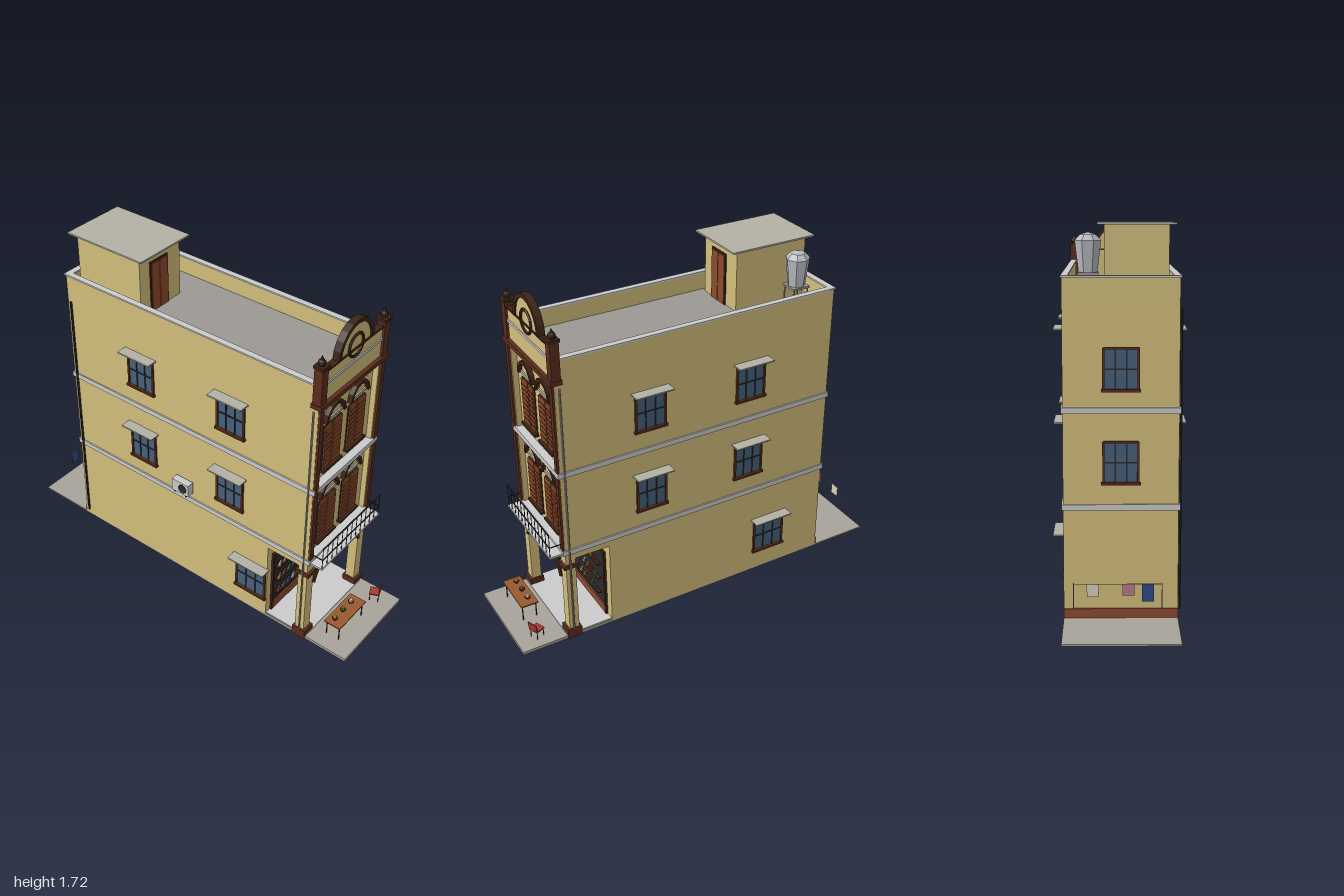
import * as THREE from 'three';

const C = {
  wall: 0xd2be7c, white: 0xcccccc, roof: 0x9c9892, slab: 0xb4b0a6, brown: 0x5a2c1c, dark: 0x3c2416,
  shutter: 0x8c4a2a, glass: 0x46607a, black: 0x2a2a2a, brick: 0x8e4a30, red: 0xa03a34, wood: 0x9a5a30, pave: 0xa8a39a,
};
const mats = {};
const mat = (c) => (mats[c] ??= new THREE.MeshStandardMaterial({ color: c, flatShading: true, side: THREE.DoubleSide }));

function add(parent, name, geo, color, x = 0, y = 0, z = 0) {
  const m = new THREE.Mesh(geo, mat(color));
  m.name = name;
  m.position.set(x, y, z);
  parent.add(m);
  return m;
}
// Box given by its limits on each axis
function box(p, name, color, x0, x1, y0, y1, z0, z1) {
  return add(p, name, new THREE.BoxGeometry(x1 - x0, y1 - y0, z1 - z0), color, (x0 + x1) / 2, (y0 + y1) / 2, (z0 + z1) / 2);
}
function group(parent, name, x = 0, y = 0, z = 0, ry = 0) {
  const g = new THREE.Group();
  g.name = name;
  g.position.set(x, y, z);
  g.rotation.y = ry;
  parent.add(g);
  return g;
}
const cyl = (r0, r1, h, n = 6) => new THREE.CylinderGeometry(r0, r1, h, n);

// Half-elliptical arch band, or a solid fan when no inner size is given
function arch(rx, ry, t, depth, seg) {
  const s = new THREE.Shape();
  const pt = (a, b, i) => new THREE.Vector2(Math.cos((Math.PI * i) / seg) * a, Math.sin((Math.PI * i) / seg) * b);
  const pts = [];
  for (let i = 0; i <= seg; i++) pts.push(pt(rx, ry, i));
  if (t) for (let i = seg; i >= 0; i--) pts.push(pt(rx - t, ry - t, i));
  s.setFromPoints(pts);
  return new THREE.ExtrudeGeometry(s, { depth, bevelEnabled: false });
}

// Glazed window facing local +z, origin at the middle of its sill
function glazedWindow(parent, x, y, z, ry, canopy, w = 0.15) {
  const g = group(parent, 'window', x, y, z, ry), h = 0.18, a = w / 2;
  box(g, 'windowGlass', C.glass, -a, a, 0, h, -0.005, 0.003);
  for (const s of [-1, 1]) box(g, 'windowJamb', C.brown, s * a - 0.005, s * a + 0.005, 0, h, -0.005, 0.009);
  box(g, 'windowHead', C.brown, -a, a, h - 0.006, h + 0.004, -0.005, 0.009);
  box(g, 'windowSill', C.brown, -a - 0.01, a + 0.01, -0.008, 0.004, -0.005, 0.016);
  for (const m of [-w / 6, w / 6]) box(g, 'windowMullion', C.black, m - 0.003, m + 0.003, 0, h, 0, 0.007);
  box(g, 'windowTransom', C.black, -a, a, h / 2 - 0.003, h / 2 + 0.003, 0, 0.007);
  if (canopy) box(g, 'windowCanopy', C.slab, -a - 0.02, a + 0.02, h + 0.012, h + 0.019, -0.005, 0.055);
}

// Shuttered front window with arched hood
function shutterWindow(parent, x, y) {
  const g = group(parent, 'shutterWindow', x, y, 0.73), h = 0.235;
  box(g, 'windowRecess', C.black, -0.067, 0.067, 0, h, -0.005, 0.004);
  for (const s of [-1, 1]) {
    const leaf = group(g, 'shutter', s * 0.0345, 0, 0.007, -s * 0.06);
    box(leaf, 'shutterLeaf', C.shutter, -0.031, 0.031, 0.004, h - 0.003, -0.003, 0.003);
    for (let i = 0; i < 8; i++) {
      const l = box(leaf, 'louvre', C.shutter, -0.024, 0.024, 0.022 + i * 0.025, 0.037 + i * 0.025, 0.003, 0.006);
      l.rotation.x = 0.35;
    }
  }
  box(g, 'windowSill', C.dark, -0.075, 0.075, -0.012, 0, -0.005, 0.022);
  add(g, 'fanPanel', arch(0.066, 0.07, 0, 0.005, 6), C.wall, 0, h + 0.03, 0);
  box(g, 'fanBase', C.slab, -0.066, 0.066, h + 0.025, h + 0.038, 0, 0.012);
  add(g, 'archHood', arch(0.077, 0.082, 0.017, 0.022, 6), C.dark, 0, h + 0.026, 0);
}

export function createModel() {
  const root = new THREE.Group();
  root.name = 'shophouse';

  // Pavements and main walls
  box(root, 'groundSlab', C.pave, -0.25, 0.25, 0, 0.008, -1, 0.53);
  box(root, 'frontPavement', C.pave, -0.25, 0.25, 0, 0.016, 0.5, 1);
  box(root, 'arcadeFloor', C.white, -0.245, 0.245, 0.016, 0.02, 0.53, 0.77);
  box(root, 'groundStorey', C.wall, -0.25, 0.25, 0.004, 0.46, -0.69, 0.53);
  box(root, 'upperStoreys', C.wall, -0.25, 0.25, 0.46, 1.4, -0.69, 0.73);
  box(root, 'roofDeck', C.roof, -0.235, 0.235, 1.395, 1.41, -0.68, 0.73);
  box(root, 'rearPlinth', C.brick, -0.25, 0.25, 0.008, 0.05, -0.697, -0.69);
  for (const s of [-1, 1]) {
    const m = s * 0.24;
    box(root, 'sideParapet', C.wall, m - 0.01, m + 0.01, 1.4, 1.496, -0.69, 0.73);
    box(root, 'sideCoping', C.white, m - 0.016, m + 0.014, 1.496, 1.504, -0.695, 0.73);
  }
  box(root, 'rearParapet', C.wall, -0.25, 0.25, 1.4, 1.496, -0.69, -0.67);
  box(root, 'rearCoping', C.white, -0.255, 0.255, 1.496, 1.504, -0.697, -0.665);
  for (const y of [0.494, 0.918]) box(root, 'stringCourse', C.white, -0.257, 0.257, y, y + 0.026, -0.697, 0.768);

  // Arcade piers, pilasters, posts and finials, mirrored
  for (const s of [-1, 1]) {
    const g = group(root, s < 0 ? 'rightPierSide' : 'leftPierSide');
    const b = (n, c, x0, x1, ...r) => box(g, n, c, Math.min(s * x0, s * x1), Math.max(s * x0, s * x1), ...r);
    b('pier', C.wall, 0.195, 0.248, 0, 0.5, 0.705, 0.755);
    b('pierBase', C.brown, 0.187, 0.257, 0, 0.052, 0.695, 0.768);
    b('pierCap', C.brown, 0.187, 0.258, 0.414, 0.434, 0.695, 0.768);
    b('pilaster', C.wall, 0.215, 0.252, 0.52, 1.385, 0.72, 0.757);
    b('pilasterStrip', C.brown, 0.224, 0.25, 0.52, 1.385, 0.757, 0.768);
    b('parapetPost', C.brown, 0.214, 0.256, 1.4, 1.59, 0.725, 0.768);
    b('postCap', C.dark, 0.208, 0.26, 1.582, 1.596, 0.72, 0.772);
    add(g, 'finialBall', new THREE.SphereGeometry(0.019, 8, 6), C.dark, s * 0.235, 1.608, 0.746);
    add(g, 'finialTip', new THREE.ConeGeometry(0.011, 0.025, 6), C.dark, s * 0.235, 1.632, 0.746);
    const curve = new THREE.QuadraticBezierCurve3(
      new THREE.Vector3(s * 0.192, 0.34, 0.757), new THREE.Vector3(s * 0.178, 0.42, 0.76), new THREE.Vector3(s * 0.115, 0.457, 0.76));
    add(g, 'arcadeBracket', new THREE.TubeGeometry(curve, 6, 0.011, 5), C.dark);
    add(g, 'frontDownpipe', cyl(0.005, 0.005, 1.31), C.roof, s * 0.256, 0.71, 0.735);
  }
  box(root, 'arcadeBeam', C.wall, -0.25, 0.25, 0.458, 0.5, 0.7, 0.755);
  box(root, 'fasciaBoard', C.white, -0.195, 0.2, 0.462, 0.486, 0.75, 0.775);

  // Parapet, pediment and medallion
  box(root, 'cornice', C.brown, -0.26, 0.26, 1.384, 1.406, 0.72, 0.776);
  box(root, 'frontParapet', C.wall, -0.215, 0.215, 1.4, 1.557, 0.732, 0.757);
  box(root, 'parapetBand', C.white, -0.214, 0.214, 1.49, 1.502, 0.755, 0.762);
  box(root, 'parapetCoping', C.dark, -0.214, 0.214, 1.555, 1.563, 0.728, 0.762);
  add(root, 'pediment', arch(0.125, 0.135, 0, 0.022, 12), C.wall, 0, 1.56, 0.734);
  add(root, 'pedimentArch', arch(0.134, 0.143, 0.02, 0.034, 10), C.dark, 0, 1.56, 0.73);
  add(root, 'medallionRing', new THREE.TorusGeometry(0.054, 0.007, 5, 14), C.dark, 0, 1.578, 0.76);

  // Front windows
  for (const x of [-0.095, 0.093]) for (const y of [0.565, 0.995]) shutterWindow(root, x, y);

  // Side and rear windows
  for (const s of [-1, 1]) {
    for (const z of [0.3, -0.235]) for (const y of [0.612, 1.042]) glazedWindow(root, s * 0.25, y, z, (s * Math.PI) / 2, true);
    glazedWindow(root, s * 0.25, 0.12, s > 0 ? -0.375 : 0.435, (s * Math.PI) / 2, true, 0.17);
  }
  for (const y of [0.615, 1.02]) glazedWindow(root, 0, y, -0.69, Math.PI, false);

  // Balcony
  const bal = group(root, 'balcony');
  box(bal, 'balconySlab', C.white, -0.245, 0.245, 0.495, 0.506, 0.75, 0.83);
  for (const y of [0.555, 0.625]) {
    box(bal, 'handRail', C.black, -0.24, 0.24, y - 0.002, y + 0.002, 0.824, 0.829);
    if (y < 0.6) for (const s of [-1, 1]) box(bal, 'sideRail', C.black, s * 0.238 - 0.002, s * 0.238 + 0.002, y - 0.002, y + 0.002, 0.76, 0.829);
  }
  for (let i = 0; i <= 12; i++) add(bal, 'baluster', cyl(0.002, 0.002, 0.12, 4), C.black, -0.238 + i * 0.03967, 0.565, 0.826);

  // Shop front with stocked shelves
  const shop = group(root, 'shopFront');
  box(shop, 'shopOpening', C.black, -0.205, 0.195, 0.06, 0.39, 0.528, 0.533);
  box(shop, 'shopPlinth', C.brick, -0.205, 0.195, 0.02, 0.06, 0.528, 0.54);
  for (const x of [-0.208, 0.198]) box(shop, 'shopJamb', C.dark, x - 0.007, x + 0.007, 0.02, 0.395, 0.528, 0.541);
  box(shop, 'shopHead', C.dark, -0.215, 0.205, 0.385, 0.397, 0.528, 0.541);
  const goods = [C.red, 0xd8d0c0, 0x4a8a44, 0xd08a30, 0x3a5a9a];
  [0.115, 0.2, 0.285].forEach((y, r) => {
    box(shop, 'shelf', C.dark, -0.185, 0.15, y, y + 0.005, 0.533, 0.552);
    for (let i = 0; i < 8; i++) {
      const m = add(shop, 'goods', cyl(0.005, 0.008, 0.032), goods[(i * 2 + r * 3) % 5], -0.165 + i * 0.04, y + 0.022, 0.546);
      m.rotation.z = -0.5;
    }
  });

  // Pavement table with dishes, and chair
  const table = group(root, 'table', -0.065, 0.016, 0.872);
  box(table, 'tableTop', C.wood, -0.115, 0.115, 0.085, 0.092, -0.045, 0.045);
  for (const x of [-0.1, 0.1]) for (const z of [-0.035, 0.035]) add(table, 'tableLeg', cyl(0.003, 0.003, 0.085, 5), C.dark, x, 0.043, z);
  [0xd08a30, 0x4a8a44, 0xd8d0c0].forEach((c, i) => {
    add(table, 'dish', cyl(0.016, 0.01, 0.008, 8), C.dark, -0.075 + i * 0.07, 0.096, -0.01);
    add(table, 'food', new THREE.SphereGeometry(0.012, 6, 4), c, -0.075 + i * 0.07, 0.105, -0.01);
  });
  const chair = group(root, 'chair', 0.175, 0.016, 0.895, 0.4);
  box(chair, 'chairSeat', C.red, -0.026, 0.026, 0.044, 0.05, -0.026, 0.026);
  const back = box(chair, 'chairBack', C.red, -0.026, 0.026, 0.05, 0.095, 0.024, 0.029);
  back.rotation.x = 0.15;
  for (const x of [-0.021, 0.021]) for (const z of [-0.021, 0.021]) add(chair, 'chairLeg', cyl(0.002, 0.002, 0.044, 5), C.dark, x, 0.022, z);

  // Stair room on the roof
  const stair = group(root, 'stairRoom');
  box(stair, 'stairRoomWalls', C.wall, -0.205, 0.07, 1.4, 1.712, -0.64, -0.26);
  box(stair, 'stairRoomRoof', C.slab, -0.235, 0.1, 1.712, 1.72, -0.67, -0.222);
  box(stair, 'stairDoorFrame', C.dark, -0.138, -0.018, 1.41, 1.665, -0.262, -0.254);
  for (const x of [-0.131, -0.076]) box(stair, 'stairDoorLeaf', C.shutter, x, x + 0.051, 1.412, 1.655, -0.26, -0.251);

  // Water tank on a stand
  const tank = group(root, 'waterTank', 0.14, 0, -0.55);
  const profile = [[0, 1.51], [0.042, 1.51], [0.058, 1.645], [0.035, 1.67], [0, 1.68]].map(([r, y]) => new THREE.Vector2(r, y));
  add(tank, 'tankBody', new THREE.LatheGeometry(profile, 7), 0xb8bcc2);
  box(tank, 'tankStand', C.roof, -0.045, 0.045, 1.5, 1.51, -0.045, 0.045);
  for (const x of [-0.038, 0.038]) for (const z of [-0.038, 0.038]) add(tank, 'standLeg', cyl(0.004, 0.004, 0.1, 5), C.roof, x, 1.455, z);

  // Air conditioner on the right wall
  const ac = group(root, 'airConditioner', -0.25, 0.595, 0.028, -Math.PI / 2);
  box(ac, 'unitCase', C.white, -0.05, 0.05, -0.034, 0.034, 0.008, 0.046);
  const fan = add(ac, 'unitFan', cyl(0.025, 0.025, 0.004, 12), C.black, 0.015, 0, 0.047);
  fan.rotation.x = Math.PI / 2;
  for (const x of [-0.035, 0.035]) box(ac, 'unitBracket', C.black, x - 0.003, x + 0.003, -0.042, -0.034, 0, 0.046);

  // Rear drainpipe and clothes line
  add(root, 'rearDrainpipe', cyl(0.006, 0.006, 1.32), C.black, -0.258, 0.7, -0.665);
  const line = group(root, 'clothesLine', 0, 0, -0.905);
  for (const x of [-0.17, 0.2]) add(line, 'linePost', cyl(0.002, 0.002, 0.11, 4), C.roof, x, 0.185, 0);
  box(line, 'line', C.roof, -0.17, 0.2, 0.234, 0.236, -0.001, 0.001);
  [[0.12, 0xd8d0c0, 0.055], [-0.03, 0xb87890, 0.05], [-0.11, 0x304a86, 0.075]].forEach(([x, c, h]) =>
    box(line, 'laundry', c, x - 0.025, x + 0.025, 0.235 - h, 0.235, -0.002, 0.002));

  return root;
}
